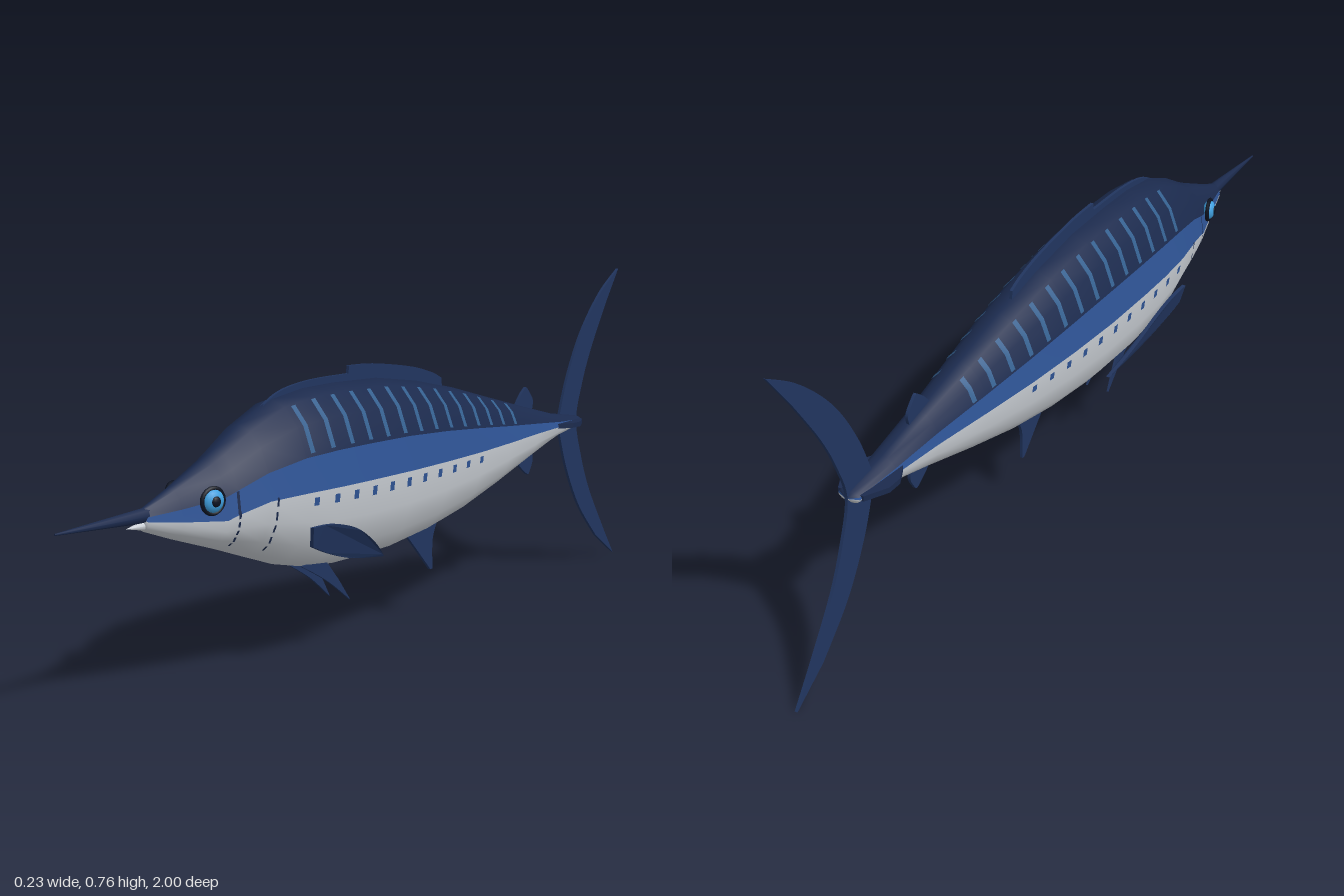
import * as THREE from 'three';

const mat = (color, extra = {}) => new THREE.MeshStandardMaterial({ color, ...extra });
const NAVY = mat(0x1b2a4d), BAND = mat(0x2f5597), BELLY = mat(0xcdd2d8), FIN = mat(0x21355f),
  STRIPE = mat(0x34608f), DARK = mat(0x0c1220), IRIS = mat(0x3fa0e0);

// Body stations: z, top, waist, bottom, half width
const STATIONS = [
  [0.781, 0.372, 0.37, 0.368, 0.001], [0.775, 0.39, 0.365, 0.345, 0.016], [0.7, 0.42, 0.355, 0.318, 0.034],
  [0.6, 0.465, 0.345, 0.285, 0.06], [0.57, 0.48, 0.355, 0.275, 0.069], [0.5, 0.52, 0.372, 0.25, 0.087],
  [0.4, 0.562, 0.376, 0.215, 0.104], [0.3, 0.575, 0.376, 0.192, 0.11], [0.2, 0.577, 0.376, 0.182, 0.111],
  [0.05, 0.573, 0.376, 0.185, 0.109], [-0.1, 0.552, 0.376, 0.202, 0.1], [-0.25, 0.52, 0.376, 0.23, 0.086],
  [-0.4, 0.481, 0.377, 0.269, 0.067], [-0.55, 0.443, 0.379, 0.312, 0.047], [-0.68, 0.411, 0.381, 0.35, 0.035],
  [-0.79, 0.395, 0.382, 0.369, 0.026], [-0.8, 0.383, 0.382, 0.381, 0.001],
];
const ZS = STATIONS.map((s) => s[0]);
const STEP = 22.5; // sixteen-sided section

function station(z) {
  let i = 0;
  while (i < STATIONS.length - 2 && z < STATIONS[i + 1][0]) i++;
  const a = STATIONS[i], b = STATIONS[i + 1], t = (z - a[0]) / (b[0] - a[0]);
  return a.map((v, k) => v + (b[k] - v) * t);
}

// Point on the faceted skin at z and an angle (0 = left waist, 90 = back)
function skin(z, deg, off = 0) {
  const [, top, mid, low, w] = station(z);
  const corner = (d) => {
    const r = THREE.MathUtils.degToRad(d), s = Math.sin(r);
    return [(w + off) * Math.cos(r), mid + s * ((s > 0 ? top - mid : mid - low) + off)];
  };
  const k = Math.floor(deg / STEP + 1e-6), t = deg / STEP - k;
  const p = corner(k * STEP), q = corner((k + 1) * STEP);
  return [p[0] + (q[0] - p[0]) * t, p[1] + (q[1] - p[1]) * t, z];
}

// Strip of skin between two angles, along a list of falling z values
function strip(name, material, a0, a1, zs, off = 0) {
  const angles = [a0];
  for (let a = (Math.floor(a0 / STEP + 1e-6) + 1) * STEP; a < a1 - 1e-6; a += STEP) angles.push(a);
  angles.push(a1);
  const pos = [], idx = [], n = angles.length;
  zs.forEach((z, i) => angles.forEach((a, j) => {
    pos.push(...skin(z, a, off));
    if (i < zs.length - 1 && j < n - 1) {
      const p = i * n + j;
      idx.push(p, p + n, p + 1, p + 1, p + n, p + n + 1);
    }
  }));
  const g = new THREE.BufferGeometry();
  g.setAttribute('position', new THREE.Float32BufferAttribute(pos, 3));
  g.setIndex(idx);
  g.computeVertexNormals();
  return named(name, g, material);
}

function named(name, geometry, material) {
  const m = new THREE.Mesh(geometry, material);
  m.name = name;
  return m;
}

// Thin fin in the z-y plane; each list of [z, y] is one smooth edge
function finGeometry(edges, thick = 0.007) {
  const shape = new THREE.Shape();
  edges.forEach((edge, i) => {
    const pts = edge.map((p) => new THREE.Vector2(...p));
    if (i === 0) shape.moveTo(pts[0].x, pts[0].y);
    else shape.lineTo(pts[0].x, pts[0].y);
    if (pts.length > 2) shape.splineThru(pts.slice(1));
    else if (pts.length === 2) shape.lineTo(pts[1].x, pts[1].y);
  });
  const g = new THREE.ExtrudeGeometry(shape, { depth: thick, bevelEnabled: false, curveSegments: 8 });
  return g.translate(0, 0, -thick / 2).rotateY(-Math.PI / 2);
}

export function createModel() {
  const model = new THREE.Group();
  model.name = 'billfish';

  // Body in coloured strips
  model.add(strip('back', NAVY, 22.5, 157.5, ZS), strip('belly', BELLY, 180, 360, ZS));
  model.add(strip('leftBand', BAND, 0, 22.5, ZS), strip('rightBand', BAND, 157.5, 180, ZS));

  // Bars on the back, dashes below the band, gill lines
  const both = (name, material, a0, a1, zs, off) => model.add(
    strip(name, material, a0, a1, zs, off), strip(name, material, (540 - a1) % 360, (540 - a1) % 360 + a1 - a0, zs, off));
  for (let i = 0; i < 14; i++) {
    const z = 0.385 - i * 0.0625;
    both('backBar', STRIPE, 25, 66, [z, z - 0.013], 0.0015);
    if (i < 11) both('sideDash', BAND, 350, 356, [z, z - 0.015], 0.002);
  }
  for (const z of [0.575, 0.485]) {
    for (let a = 302; a < 355; a += 13) both('gillLine', NAVY, a, a + 8, [z, z - 0.005], 0.0015);
  }
  both('gillCover', NAVY, 0, 22, [0.577, 0.571], 0.0015);

  // Bill and lower jaw
  const bill = named('bill', new THREE.CylinderGeometry(0.002, 0.016, 0.24, 8), NAVY);
  bill.rotation.x = Math.PI / 2;
  bill.position.set(0, 0.376, 0.88);
  const jaw = named('lowerJaw', new THREE.ConeGeometry(0.013, 0.06, 8), BELLY);
  jaw.rotation.x = Math.PI / 2;
  jaw.position.set(0, 0.357, 0.79);
  model.add(bill, jaw);

  // Fins on the centre line
  const centreFins = {
    firstDorsalFin: [[[0.46, 0.53], [0.38, 0.572], [0.28, 0.588], [0.145, 0.59]],
      [[0.143, 0.607], [0.05, 0.603], [-0.08, 0.585], [-0.16, 0.565], [-0.2, 0.548]], [[-0.205, 0.51], [0.2, 0.5]]],
    secondDorsalFin: [[[-0.51, 0.44], [-0.535, 0.47], [-0.56, 0.49]], [[-0.565, 0.488], [-0.592, 0.455], [-0.585, 0.42]], [[-0.52, 0.42]]],
    secondAnalFin: [[[-0.51, 0.32], [-0.54, 0.292], [-0.572, 0.27]], [[-0.578, 0.272], [-0.595, 0.305], [-0.585, 0.34]], [[-0.52, 0.34]]],
    analFin: [[[-0.05, 0.215], [-0.1, 0.165], [-0.16, 0.103]], [[-0.168, 0.104], [-0.17, 0.18], [-0.205, 0.24]], [[-0.06, 0.24]]],
    tailFin: [[[-0.715, 0.39], [-0.755, 0.495], [-0.82, 0.605], [-0.91, 0.7], [-1, 0.76]],
      [[-0.94, 0.675], [-0.868, 0.56], [-0.825, 0.47], [-0.8, 0.382], [-0.825, 0.29], [-0.868, 0.195], [-0.94, 0.085], [-1, 0]],
      [[-0.91, 0.06], [-0.82, 0.155], [-0.755, 0.265], [-0.715, 0.372]]],
  };
  for (const [name, edges] of Object.entries(centreFins)) model.add(named(name, finGeometry(edges), FIN));

  // Flat keels across the tail root
  const keel = new THREE.Shape([[0.035, 0.66], [0.056, 0.7], [0.056, 0.735], [0.03, 0.785],
    [-0.03, 0.785], [-0.056, 0.735], [-0.056, 0.7], [-0.035, 0.66]].map((p) => new THREE.Vector2(...p)));
  const keelGeo = new THREE.ExtrudeGeometry(keel, { depth: 0.012, bevelEnabled: false });
  keelGeo.rotateX(-Math.PI / 2).translate(0, 0.377, 0);
  model.add(named('tailKeels', keelGeo, NAVY));

  // Paired fins and eyes
  for (const s of [1, -1]) {
    const side = s > 0 ? 'left' : 'right';

    // Pectoral fin leans in along the flank
    const pec = finGeometry([[[0.4, 0.305], [0.33, 0.302], [0.25, 0.28], [0.17, 0.235], [0.107, 0.19]],
      [[0.18, 0.2], [0.25, 0.213], [0.33, 0.238], [0.39, 0.262]]], 0.009);
    const p = pec.attributes.position;
    for (let i = 0; i < p.count; i++) {
      const drop = 0.305 - p.getY(i);
      p.setX(i, p.getX(i) + s * (0.109 - 0.12 * drop - 2.2 * drop * drop));
    }
    pec.computeVertexNormals();
    model.add(named(side + 'PectoralFin', pec, FIN));

    const pelvic = finGeometry([[[0.33, 0.2], [0.25, 0.155], [0.176, 0.1]], [[0.21, 0.15], [0.25, 0.2]]], 0.005);
    const q = pelvic.attributes.position;
    for (let i = 0; i < q.count; i++) q.setX(i, q.getX(i) + s * (0.02 + (0.195 - q.getY(i)) * 0.09));
    model.add(named(side + 'PelvicFin', pelvic, FIN));

    const eye = new THREE.Group();
    eye.name = side + 'Eye';
    const ball = named('iris', new THREE.SphereGeometry(0.024, 16, 12), IRIS);
    ball.scale.x = 0.6;
    const rim = named('eyeRim', new THREE.TorusGeometry(0.025, 0.005, 6, 20), DARK);
    rim.rotation.y = Math.PI / 2;
    const pupil = named('pupil', new THREE.SphereGeometry(0.011, 12, 8), DARK);
    pupil.scale.x = 0.5;
    pupil.position.x = s * 0.0115;
    eye.add(ball, rim, pupil);
    eye.position.set(s * 0.054, 0.39, 0.636);
    eye.rotation.y = -s * 0.25;
    model.add(eye);
  }
  return model;
}
